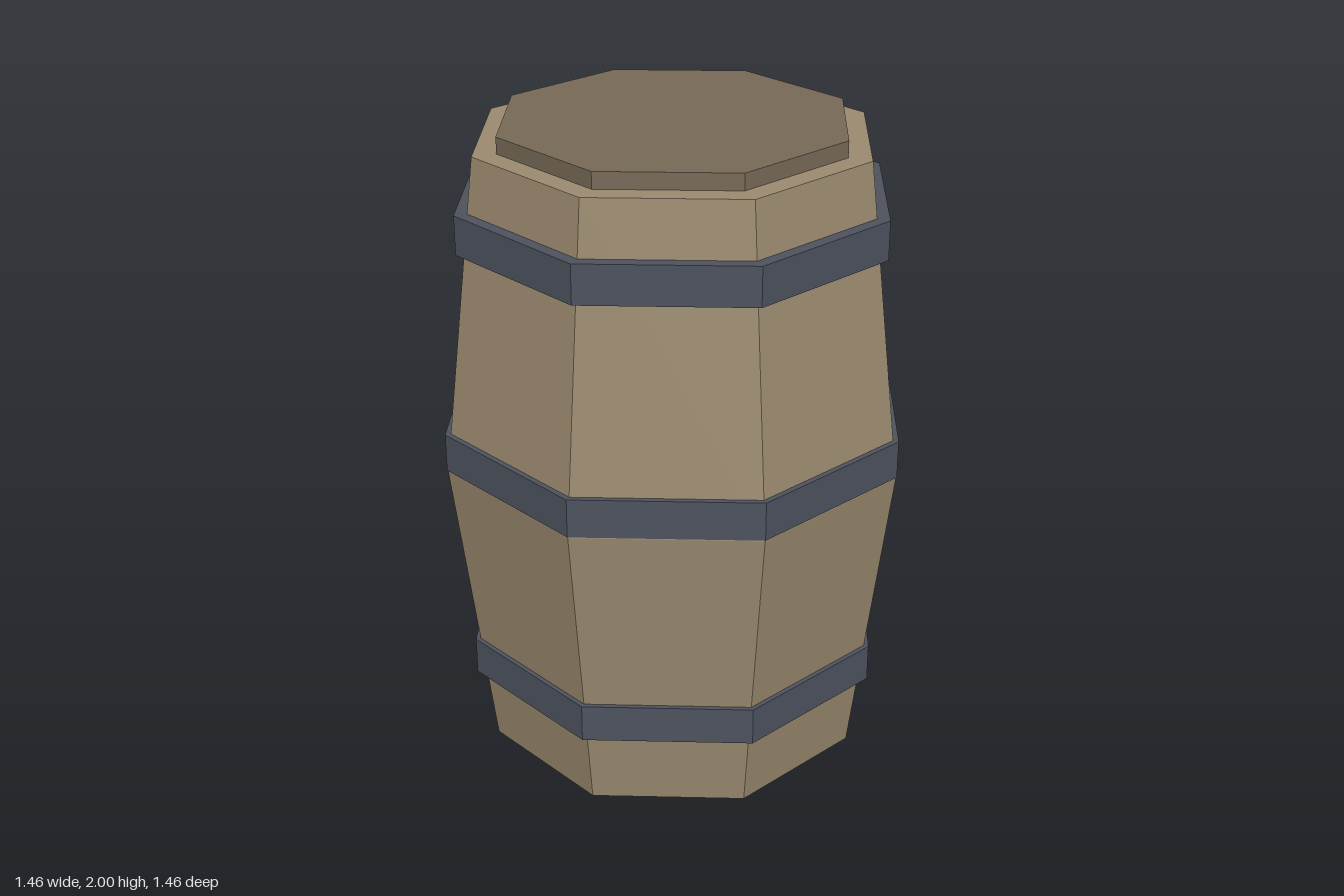
import * as THREE from 'three';

const SIDES = 8;

// Eight-sided solid of revolution from [radius, height] pairs, listed bottom to top
function turned(name, profile, color) {
  const points = profile.map(([r, y]) => new THREE.Vector2(r, y));
  const material = new THREE.MeshStandardMaterial({ color, flatShading: true });
  const mesh = new THREE.Mesh(new THREE.LatheGeometry(points, SIDES), material);
  mesh.name = name;
  return mesh;
}

export function createModel() {
  const barrel = new THREE.Group();
  barrel.name = 'barrel';

  const wood = 0x9b8a6f, darkWood = 0x776957, iron = 0x4d525e;

  // Staves: two straight tapers meeting at the belly, closed at both ends
  barrel.add(turned('body', [[0, 0], [0.61, 0], [0.728, 0.975], [0.61, 1.95], [0, 1.95]], wood));

  // Raised lid
  barrel.add(turned('lid', [[0.537, 1.95], [0.537, 2], [0, 2]], darkWood));

  // Iron hoops: straight bands with their inner edges sunk into the staves
  const hoops = [
    ['lowerHoop', 0.67, 0.247],
    ['middleHoop', 0.731, 0.979],
    ['upperHoop', 0.67, 1.663],
  ];
  for (const [name, radius, y] of hoops) {
    const inner = radius - 0.07, top = y + 0.12;
    barrel.add(turned(name, [[inner, y], [radius, y], [radius, top], [inner, top]], iron));
  }

  return barrel;
}
